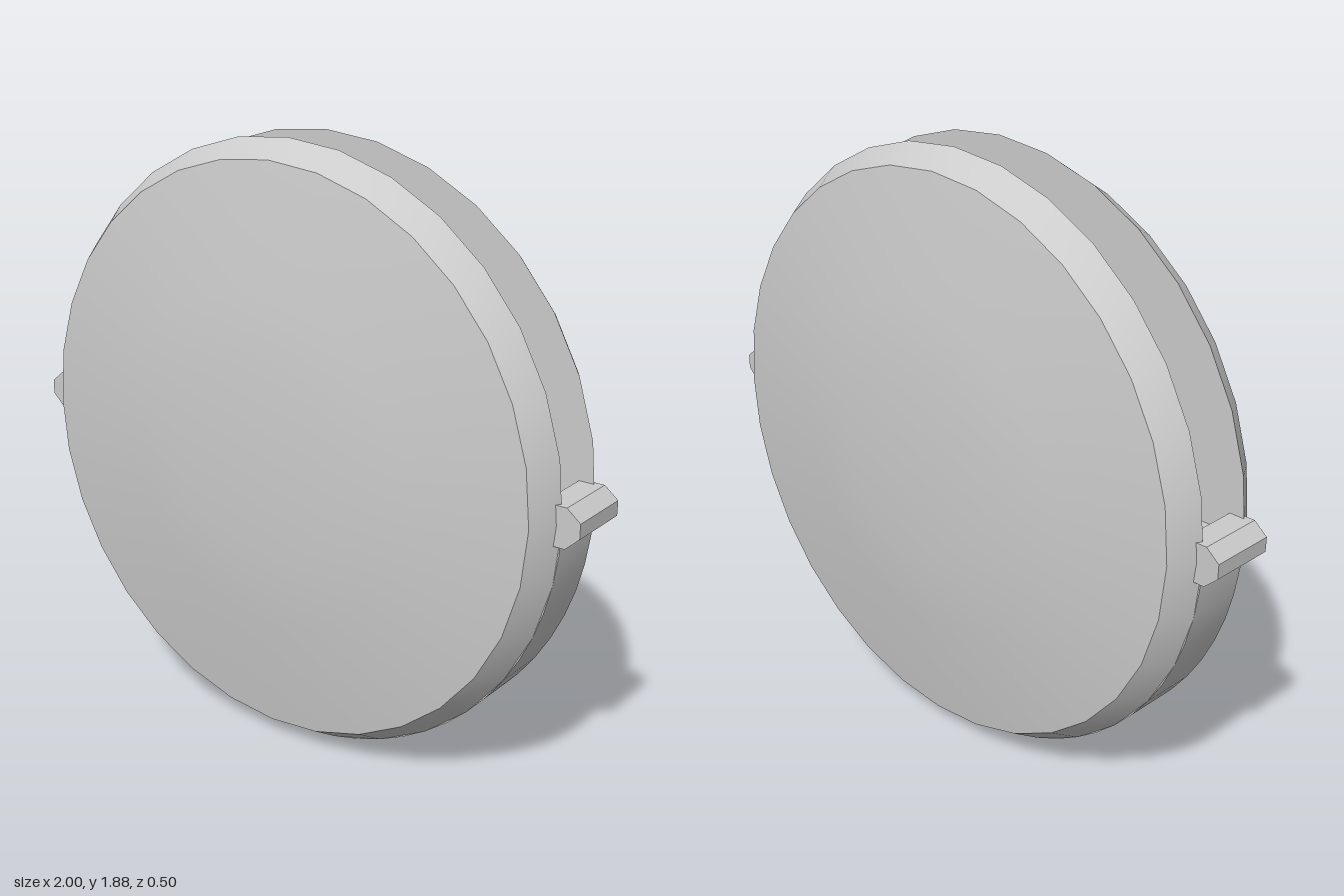
import * as THREE from 'three';
import { toCreasedNormals } from 'three/addons/utils/BufferGeometryUtils.js';

const CENTER_Y = 0.94, RADIUS = 0.938, GAP = 0.09;

export function createModel() {
  const group = new THREE.Group();
  group.name = 'splitDisc';
  const material = new THREE.MeshStandardMaterial({ color: 0xcccccc });
  const add = (name, geometry) => {
    const mesh = new THREE.Mesh(toCreasedNormals(geometry, 0.45), material);
    mesh.name = name;
    mesh.position.y = CENTER_Y;
    group.add(mesh);
  };

  // Domed plates with a bevelled rim, either side of the gap
  const profile = [[0, GAP], [RADIUS, GAP], [0.885, 0.175], [0.52, 0.23], [0.3, 0.25], [0, 0.25]]
    .map(([r, z]) => new THREE.Vector2(r, z));
  for (const [name, side] of [['frontPlate', 1], ['backPlate', -1]]) {
    add(name, new THREE.LatheGeometry(profile, 32).rotateX(side * Math.PI / 2));
  }

  // Solid lower half joining the plates, the upper half is an open slot
  const half = new THREE.Shape();
  half.absarc(0, 0, RADIUS, Math.PI, Math.PI * 2, false);
  half.closePath();
  const core = new THREE.ExtrudeGeometry(half, { depth: GAP * 2, bevelEnabled: false, curveSegments: 16 });
  add('lowerCore', core.translate(0, 0, -GAP));

  // Side lugs with chamfered outer corners
  const outline = [[0.885, -0.06], [0.957, -0.06], [1, -0.02], [1, 0.025], [0.957, 0.06], [0.885, 0.06]];
  for (const [name, side] of [['leftLug', 1], ['rightLug', -1]]) {
    const shape = new THREE.Shape(outline.map(([x, y]) => new THREE.Vector2(side * x, y)));
    const lug = new THREE.ExtrudeGeometry(shape, { depth: 0.21, bevelEnabled: false });
    add(name, lug.translate(0, 0, -0.105));
  }
  return group;
}
